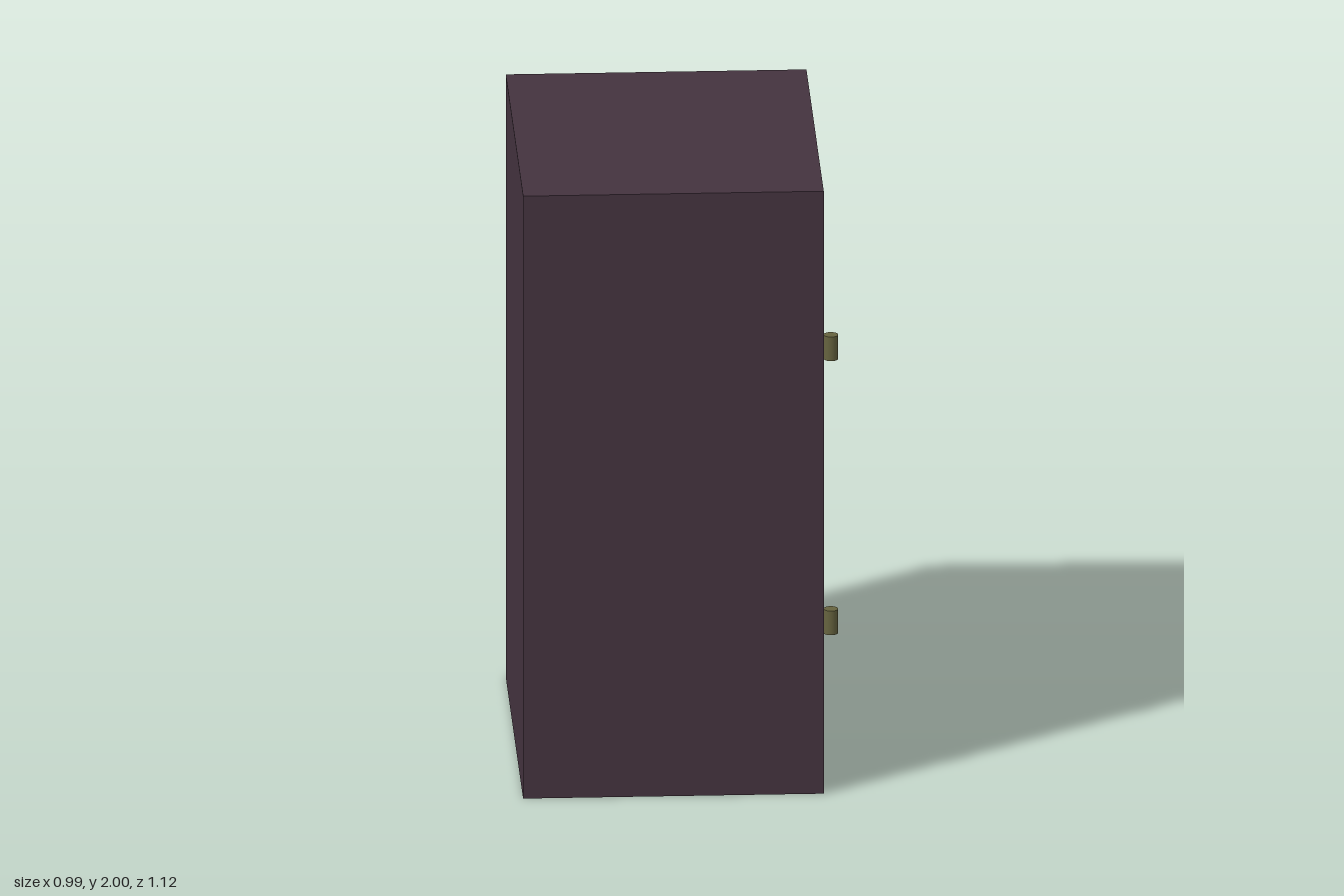
import * as THREE from 'three';

const wood = new THREE.MeshStandardMaterial({ color: 0x44333f });
const brass = new THREE.MeshStandardMaterial({ color: 0x66633f });

const OPEN_X = 0.445;  // face that carries the door
const BACK_X = -0.495;
const HEIGHT = 2, DEPTH = 1.12, WALL = 0.06;

function addMesh(parent, name, geometry, material, x, y, z) {
  const mesh = new THREE.Mesh(geometry, material);
  mesh.name = name;
  mesh.position.set(x, y, z);
  parent.add(mesh);
  return mesh;
}

// Rectangular ring lying in the YZ plane, extruded towards +x from its origin
function ringGeometry(depthZ, height, border, thickness) {
  const rect = (path, w, h) => path
    .moveTo(-w / 2, -h / 2).lineTo(w / 2, -h / 2)
    .lineTo(w / 2, h / 2).lineTo(-w / 2, h / 2).closePath();
  const shape = new THREE.Shape();
  rect(shape, depthZ, height);
  const hole = new THREE.Path();
  rect(hole, depthZ - 2 * border, height - 2 * border);
  shape.holes.push(hole);
  return new THREE.ExtrudeGeometry(shape, { depth: thickness, bevelEnabled: false }).rotateY(Math.PI / 2);
}

export function createModel() {
  const model = new THREE.Group();
  model.name = 'cabinet';
  const midY = HEIGHT / 2;

  // Case: four walls around the opening, closed by a back panel
  addMesh(model, 'caseWalls', ringGeometry(DEPTH, HEIGHT, WALL, OPEN_X - BACK_X), wood, BACK_X, midY, 0);
  addMesh(model, 'backPanel', new THREE.BoxGeometry(WALL, HEIGHT - 2 * WALL, DEPTH - 2 * WALL), wood,
    BACK_X + WALL / 2, midY, 0);

  // Door: frame set slightly into the opening, with a sunken centre panel
  const door = new THREE.Group();
  door.name = 'door';
  model.add(door);
  const faceX = OPEN_X - 0.008, thick = 0.06, sunk = 0.03;
  addMesh(door, 'doorFrame', ringGeometry(DEPTH - 2 * WALL, HEIGHT - 2 * WALL, 0.09, thick), wood,
    faceX - thick, midY, 0);
  addMesh(door, 'doorPanel', new THREE.BoxGeometry(0.02, 1.7, 0.84), wood, faceX - sunk - 0.01, midY, 0);

  // Hinge barrels on the front edge of the case
  for (const y of [0.56, 1.47]) {
    addMesh(model, 'hinge', new THREE.CylinderGeometry(0.023, 0.023, 0.08, 24), brass, 0.469, y, 0.522);
  }
  return model;
}
